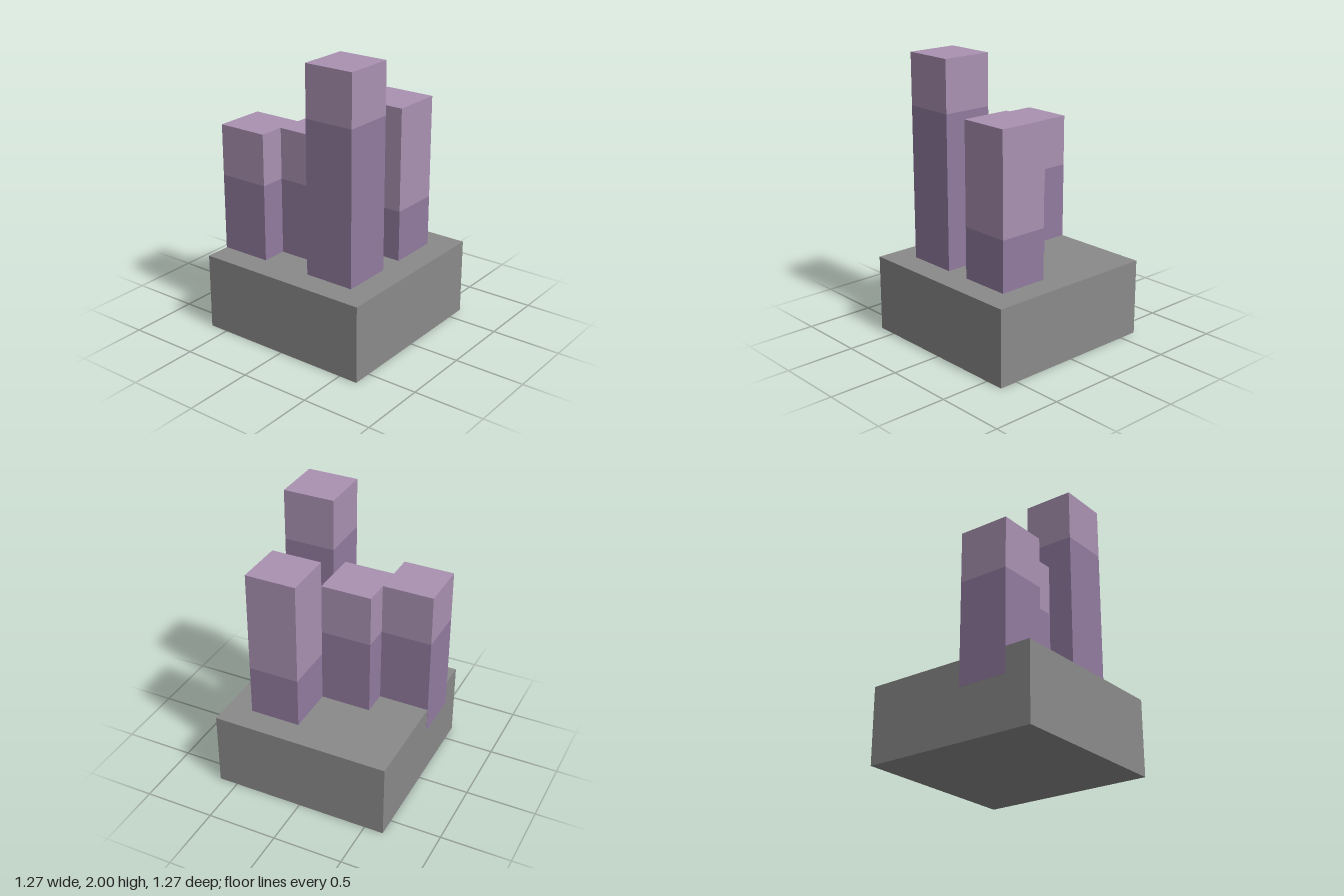
import * as THREE from 'three';

// One grid unit: the model is 22 units tall
const U = 1 / 11;

const materials = {
  stone: new THREE.MeshStandardMaterial({ color: 0x8a8a8a }),
  lower: new THREE.MeshStandardMaterial({ color: 0x917b9f }),
  upper: new THREE.MeshStandardMaterial({ color: 0xa991b1 }),
};

// Square block centred on (x, z), from y0 to y1, in grid units
function block(name, material, width, x, z, y0, y1) {
  const geometry = new THREE.BoxGeometry(width * U, (y1 - y0) * U, width * U);
  const mesh = new THREE.Mesh(geometry, material);
  mesh.name = name;
  mesh.position.set(x * U, ((y0 + y1) / 2) * U, z * U);
  return mesh;
}

export function createModel() {
  const model = new THREE.Group();
  model.name = 'crystalCluster';

  // Stone base
  model.add(block('base', materials.stone, 14, 0, 0, 0, 6));

  // Two-tone pillars, sunk 2 units into the base
  const pillars = [
    { name: 'tallPillar', x: -3, z: 3, split: 18, top: 22 },
    { name: 'frontLeftPillar', x: 3, z: 3, split: 10, top: 18 },
    { name: 'middlePillar', x: -1, z: -1, split: 12, top: 16 },
    // Nudged back so its foot shows on the rear face of the base
    { name: 'backPillar', x: -3, z: -5.015, split: 12, top: 16 },
  ];
  for (const { name, x, z, split, top } of pillars) {
    const pillar = new THREE.Group();
    pillar.name = name;
    pillar.add(block('pillarLower', materials.lower, 4, x, z, 4, split));
    pillar.add(block('pillarUpper', materials.upper, 4, x, z, split, top));
    model.add(pillar);
  }

  return model;
}
